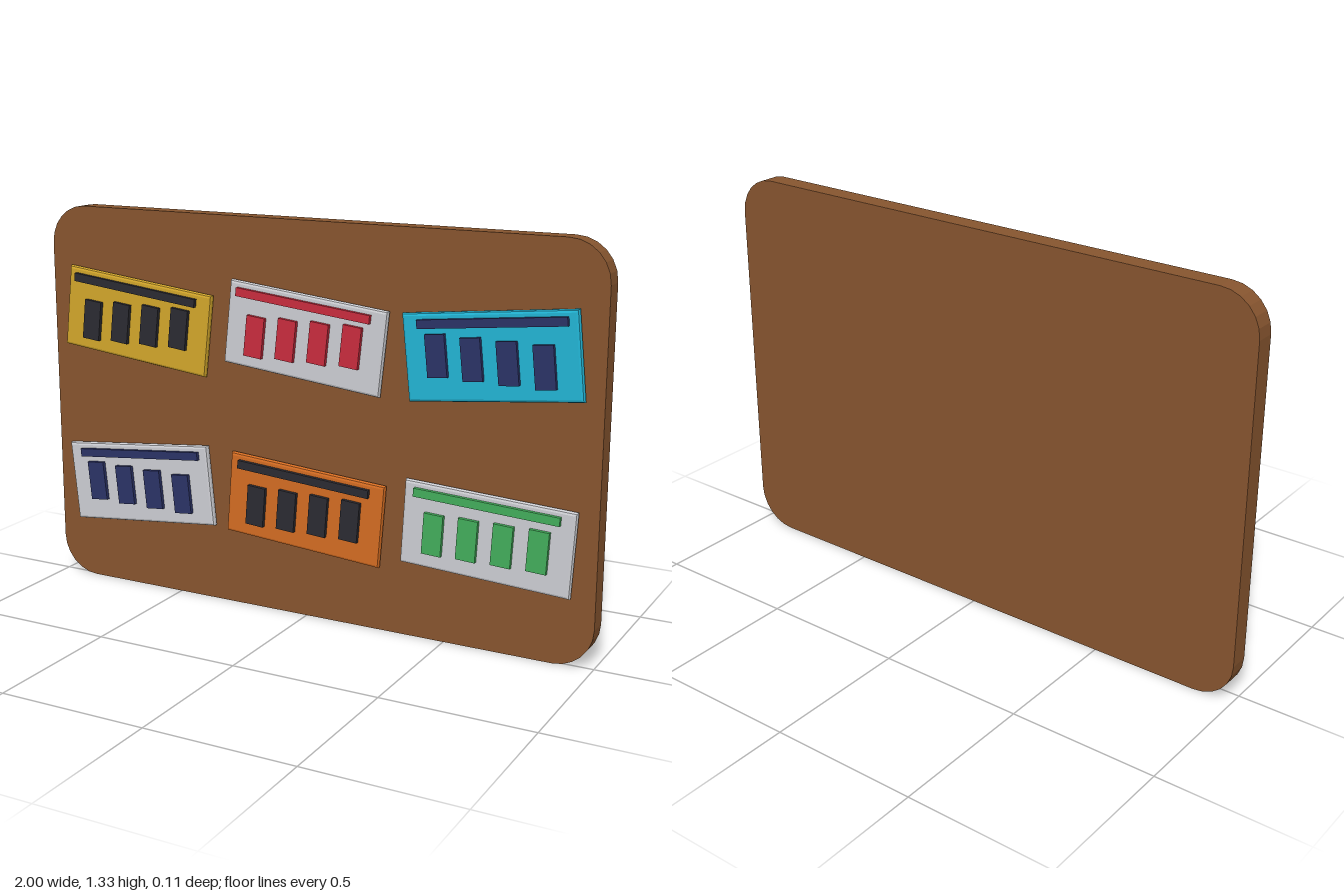
import * as THREE from 'three';

const paint = (name, color) => {
  const m = new THREE.MeshStandardMaterial({ color });
  m.name = name;
  return m;
};

// Rectangle outline centred on the origin; corners rounded when r > 0
function rectShape(w, h, r = 0) {
  const s = new THREE.Shape();
  const x = w / 2, y = h / 2;
  if (r === 0) {
    s.moveTo(-x, -y).lineTo(x, -y).lineTo(x, y).lineTo(-x, y).closePath();
    return s;
  }
  s.absarc(x - r, y - r, r, 0, Math.PI / 2);
  s.absarc(-x + r, y - r, r, Math.PI / 2, Math.PI);
  s.absarc(-x + r, -y + r, r, Math.PI, Math.PI * 1.5);
  s.absarc(x - r, -y + r, r, Math.PI * 1.5, Math.PI * 2);
  s.closePath();
  return s;
}

export function createModel() {
  const colors = {
    wood: paint('wood brown', 0x87552f),
    yellow: paint('yellow', 0xd2a62b),
    silver: paint('silver', 0xcdced3),
    cyan: paint('cyan', 0x22b5d5),
    orange: paint('orange', 0xd46c22),
    black: paint('charcoal', 0x2b2b32),
    red: paint('red', 0xc92c3e),
    navy: paint('navy', 0x2b3366),
    green: paint('green', 0x43ae5b),
  };
  const model = new THREE.Group();
  model.name = 'plateBoard';

  const add = (parent, name, geometry, material, x, y, z, angle = 0) => {
    const mesh = new THREE.Mesh(geometry, material);
    mesh.name = name;
    mesh.position.set(x, y, z);
    mesh.rotation.z = angle;
    parent.add(mesh);
  };

  // Wooden backing board with coarse rounded corners
  const boardGeo = new THREE.ExtrudeGeometry(rectShape(2, 1.333, 0.133), {
    depth: 0.067, bevelEnabled: false, curveSegments: 3,
  });
  add(model, 'board', boardGeo, colors.wood, 0, 0.6665, -0.053);

  // Shared plate, header strip and character block shapes
  const bevel = 0.009;
  const plateGeo = new THREE.ExtrudeGeometry(rectShape(0.572 - 2 * bevel, 0.28 - 2 * bevel), {
    depth: 0.026 - 2 * bevel, bevelThickness: bevel, bevelSize: bevel, bevelSegments: 2,
  });
  plateGeo.translate(0, 0, bevel);
  const stripGeo = new THREE.BoxGeometry(0.487, 0.028, 0.014);
  const blockGeo = new THREE.BoxGeometry(0.066, 0.136, 0.014);

  // x, y, tilt in degrees, plate colour, detail colour
  const plates = [
    [-0.645, 0.958, -6.4, 'yellow', 'black'],
    [0, 0.958, -6.1, 'silver', 'red'],
    [0.645, 0.958, 6.0, 'cyan', 'navy'],
    [-0.645, 0.381, 5.6, 'silver', 'navy'],
    [0, 0.381, -4.4, 'orange', 'black'],
    [0.645, 0.381, -3.1, 'silver', 'green'],
  ];
  plates.forEach(([x, y, degrees, base, detail], i) => {
    const group = new THREE.Group();
    group.name = `plate${i + 1}`;
    group.position.set(x, y, 0);
    model.add(group);
    const tilt = THREE.MathUtils.degToRad(degrees);

    add(group, 'plateBase', plateGeo, colors[base], 0, 0, 0.0135, tilt);
    // Each raised detail tilts about its own centre
    add(group, 'headerStrip', stripGeo, colors[detail], 0, 0.107, 0.046, tilt);
    for (let k = 0; k < 4; k++) {
      add(group, 'raisedBlock', blockGeo, colors[detail], (k - 1.5) * 0.117, -0.012, 0.046, tilt);
    }
  });

  return model;
}
